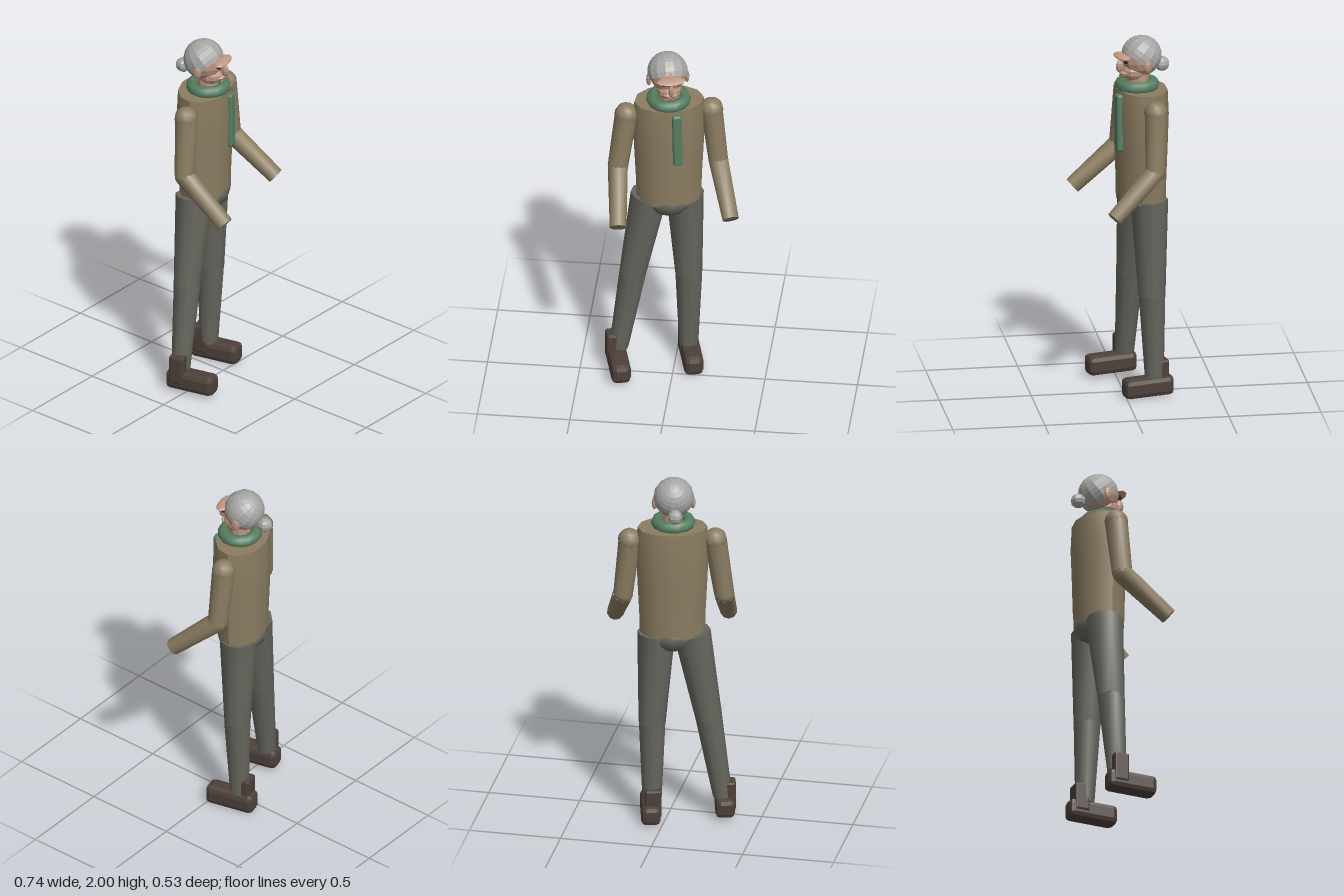
import * as THREE from 'three';
import { toCreasedNormals } from 'three/addons/utils/BufferGeometryUtils.js';
import { RoundedBoxGeometry } from 'three/addons/geometries/RoundedBoxGeometry.js';

const mat = (color, flatShading = false) => new THREE.MeshStandardMaterial({ color, flatShading });
const coat = mat(0x8b7d62), trousers = mat(0x66665e), leather = mat(0x4e403a, true);
const skin = mat(0xb8937f, true), hairGrey = mat(0xa6a6a4, true), green = mat(0x567f62);
const dark = mat(0x2b2320), lip = mat(0x8a5f52, true), browSkin = mat(0xc09a86, true);
const YAW = 0.24; // the whole figure turns slightly to its left

function add(parent, name, geometry, material, position = [0, 0, 0]) {
  const mesh = new THREE.Mesh(geometry, material);
  mesh.name = name;
  mesh.position.set(...position);
  parent.add(mesh);
  return mesh;
}

// Tapered cylinder running from point a to point b
function limb(parent, name, a, b, ra, rb, material) {
  const from = new THREE.Vector3(...a), to = new THREE.Vector3(...b);
  const dir = to.clone().sub(from);
  const geo = toCreasedNormals(new THREE.CylinderGeometry(rb, ra, dir.length(), 10), 0.8);
  const mesh = add(parent, name, geo, material);
  mesh.position.copy(from).add(to).multiplyScalar(0.5);
  mesh.quaternion.setFromUnitVectors(new THREE.Vector3(0, 1, 0), dir.normalize());
  return mesh;
}

const ellipsoid = (x, y, z, w = 10, h = 8) => new THREE.SphereGeometry(1, w, h).scale(x, y, z);

function buildTorso(root) {
  const torso = new THREE.Group();
  torso.name = 'torso';
  torso.position.set(-0.03, 0, -0.1);
  torso.rotation.y = YAW;
  root.add(torso);

  // Coat: oval rings from hem to shoulders
  const profile = [[0, 1.09], [0.176, 1.09], [0.178, 1.2], [0.188, 1.4], [0.196, 1.58], [0.188, 1.715], [0, 1.715]];
  const geo = new THREE.LatheGeometry(profile.map(([r, y]) => new THREE.Vector2(r, y)), 12);
  geo.scale(1, 1, 0.72);
  add(torso, 'coat', toCreasedNormals(geo, 0.7), coat);
  add(torso, 'pelvis', ellipsoid(0.14, 0.1, 0.134, 12, 8), trousers, [0, 1.09, 0]);

  // Scarf wound round the neck
  const ring = new THREE.TorusGeometry(0.087, 0.034, 8, 14).rotateX(Math.PI / 2);
  add(torso, 'scarfRing', ring, green, [-0.005, 1.733, 0.02]);
  add(torso, 'neck', new THREE.CylinderGeometry(0.055, 0.06, 0.12, 10), skin, [0, 1.76, 0.015]);
}

function buildHead(root) {
  const head = new THREE.Group();
  head.name = 'head';
  head.position.set(-0.037, 1.885, -0.1);
  head.rotation.y = 0.27;
  root.add(head);

  add(head, 'skull', ellipsoid(0.098, 0.11, 0.108, 12, 9), skin);
  add(head, 'jaw', ellipsoid(0.07, 0.055, 0.072, 10, 7), skin, [0, -0.075, 0.04]);

  // Hair: a cap tilted to the back, with a bun
  const cap = new THREE.SphereGeometry(0.11, 14, 8, 0, Math.PI * 2, 0, 1.95);
  const hair = add(head, 'hair', cap, hairGrey, [0, 0.006, -0.004]);
  hair.rotation.x = -0.72;
  hair.material.side = THREE.DoubleSide;
  add(head, 'bun', ellipsoid(0.04, 0.04, 0.042, 8, 6), hairGrey, [0, -0.058, -0.125]);

  // Face
  const brow = add(head, 'brow', ellipsoid(0.08, 0.013, 0.038, 10, 6), browSkin, [0, 0.015, 0.11]);
  brow.rotation.x = 0.08;
  add(head, 'nose', ellipsoid(0.016, 0.035, 0.024, 8, 6), skin, [0, -0.04, 0.122]);
  add(head, 'moustache', ellipsoid(0.04, 0.012, 0.02, 8, 6), browSkin, [0, -0.077, 0.105]);
  add(head, 'mouth', ellipsoid(0.028, 0.007, 0.015, 8, 6), lip, [0, -0.096, 0.108]);
  for (const s of [-1, 1]) {
    const side = s > 0 ? 'left' : 'right';
    add(head, side + 'Eye', ellipsoid(0.016, 0.012, 0.013, 8, 6), dark, [s * 0.036, -0.006, 0.102]);
    add(head, side + 'Ear', ellipsoid(0.014, 0.036, 0.024, 8, 6), skin, [s * 0.104, -0.03, 0.003]);
  }
}

function buildArm(root, side, shoulder, elbow, wrist) {
  const arm = new THREE.Group();
  arm.name = side + 'Arm';
  root.add(arm);
  add(arm, 'shoulder', ellipsoid(0.064, 0.064, 0.064), coat, shoulder);
  limb(arm, 'upperArm', shoulder, elbow, 0.062, 0.055, coat);
  add(arm, 'elbow', ellipsoid(0.054, 0.054, 0.054), coat, elbow);
  limb(arm, 'forearm', elbow, wrist, 0.055, 0.046, coat);
}

function buildLeg(root, side, hip, knee, ankle, sole, shaftTop) {
  const leg = new THREE.Group();
  leg.name = side + 'Leg';
  root.add(leg);
  limb(leg, 'thigh', hip, knee, 0.102, 0.073, trousers);
  add(leg, 'knee', ellipsoid(0.072, 0.072, 0.072), trousers, knee);
  limb(leg, 'shin', knee, ankle, 0.073, 0.052, trousers);

  // Boot: chamfered foot with a short shaft over the heel
  const boot = new THREE.Group();
  boot.name = side + 'Boot';
  boot.position.set(...sole);
  boot.rotation.y = YAW;
  leg.add(boot);
  add(boot, 'foot', new RoundedBoxGeometry(0.105, 0.11, 0.28, 1, 0.028), leather, [0, 0.055, 0]);
  add(boot, 'shaft', new RoundedBoxGeometry(0.092, shaftTop, 0.085, 1, 0.012), leather,
    [-0.012, 0.04 + shaftTop / 2, -0.072]);
}

export function createModel() {
  const root = new THREE.Group();
  root.name = 'standingFigure';
  buildTorso(root);
  buildHead(root);

  // Hanging end of the scarf
  const tail = add(root, 'scarfTail', new RoundedBoxGeometry(0.052, 0.32, 0.044, 2, 0.014), green, [0.028, 1.537, 0.024]);
  tail.rotation.set(0, YAW, 0.02);

  buildArm(root, 'right', [-0.255, 1.637, -0.047], [-0.298, 1.31, -0.022], [-0.268, 1.09, 0.238]);
  buildArm(root, 'left', [0.195, 1.637, -0.148], [0.232, 1.315, -0.14], [0.325, 1.09, 0.095]);
  buildLeg(root, 'right', [-0.135, 1.1, -0.09], [-0.222, 0.6, -0.068], [-0.295, 0.13, -0.05],
    [-0.29, 0.015, 0.025], 0.165);
  buildLeg(root, 'left', [0.052, 1.1, -0.133], [0.072, 0.57, -0.145], [0.07, 0.1, -0.158],
    [0.087, 0, -0.12], 0.16);
  return root;
}
